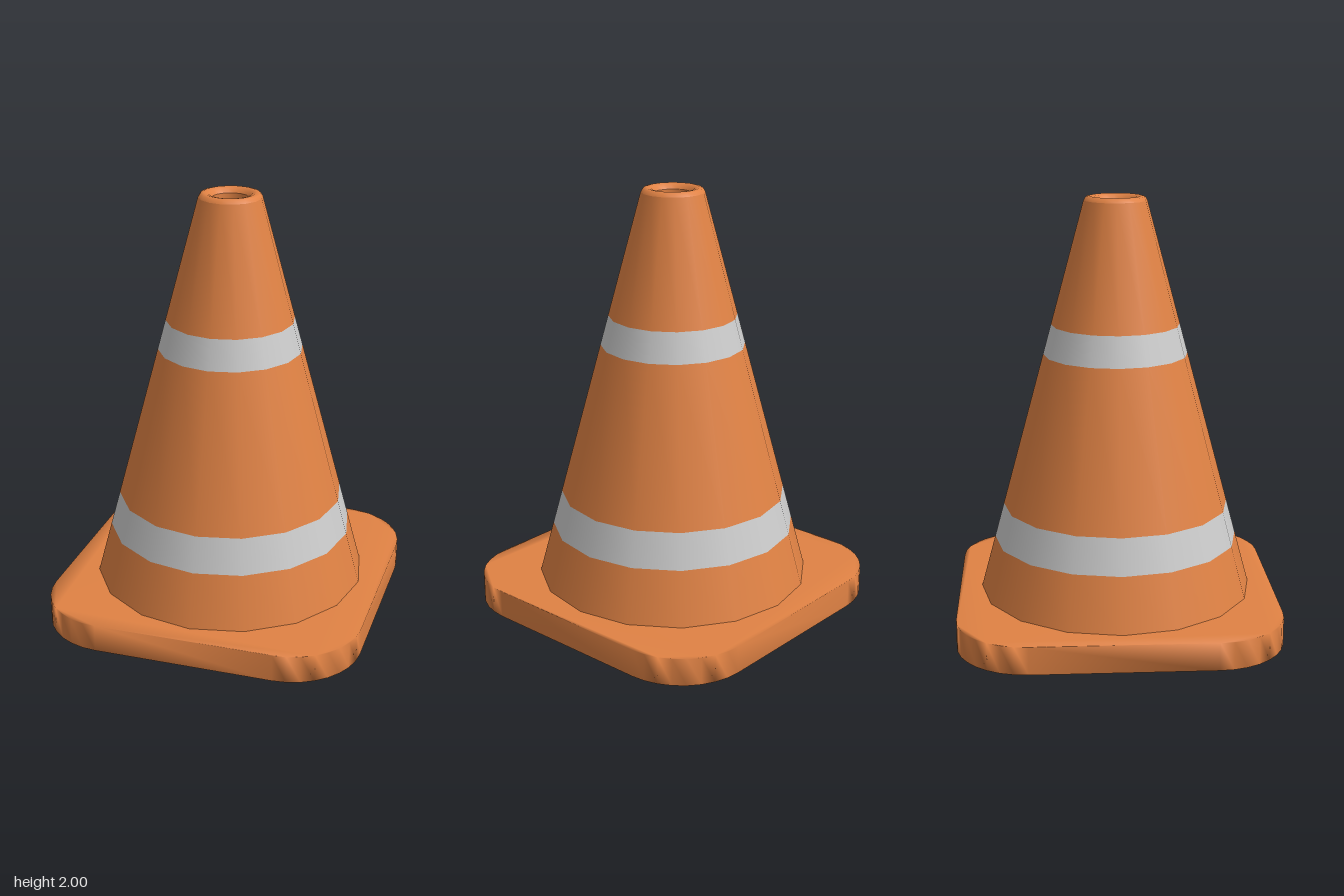
import * as THREE from 'three';
import { mergeVertices } from 'three/addons/utils/BufferGeometryUtils.js';

const SIDES = 16;
const BASE_HEIGHT = 0.13;

export function createModel() {
  const group = new THREE.Group();
  const orange = new THREE.MeshStandardMaterial({ color: 0xe08244 });
  const grey = new THREE.MeshStandardMaterial({ color: 0xcccccc });

  const add = (name, geometry, material) => {
    const mesh = new THREE.Mesh(geometry, material);
    mesh.name = name;
    group.add(mesh);
  };
  const lathe = (points) =>
    new THREE.LatheGeometry(points.map(([r, y]) => new THREE.Vector2(r, y)), SIDES);

  // Radius of the tapering wall at a height
  const radiusAt = (y) => THREE.MathUtils.mapLinear(y, BASE_HEIGHT, 1.98, 0.645, 0.146);
  const wall = (y0, y1) => lathe([[radiusAt(y0), y0], [radiusAt(y1), y1]]);

  // Square foot with rounded corners and soft shading
  const half = 0.75, corner = 0.33, inner = half - corner;
  const outline = new THREE.Shape();
  for (let i = 0; i < 4; i++) {
    const start = (i * Math.PI) / 2;
    const cx = inner * (i === 0 || i === 3 ? 1 : -1);
    const cy = inner * (i < 2 ? 1 : -1);
    outline.absarc(cx, cy, corner, start, start + Math.PI / 2, false);
  }
  let foot = new THREE.ExtrudeGeometry(outline, {
    depth: BASE_HEIGHT, bevelEnabled: false, curveSegments: 4,
  });
  foot.rotateX(-Math.PI / 2);
  foot.deleteAttribute('normal');
  foot.deleteAttribute('uv');
  foot = mergeVertices(foot, 1e-4);
  foot.computeVertexNormals();
  add('foot', foot, orange);

  // Cone wall in alternating orange and reflective sections
  add('lowerCone', wall(BASE_HEIGHT, 0.38), orange);
  add('lowerBand', wall(0.38, 0.545), grey);
  add('middleCone', wall(0.545, 1.27), orange);
  add('upperBand', wall(1.27, 1.41), grey);
  add('upperCone', wall(1.41, 1.98), orange);

  // Rounded lip and the open tube inside
  add('lip', lathe([[0.146, 1.98], [0.136, 1.996], [0.12, 2], [0.098, 1.995], [0.085, 1.975]]), orange);
  add('innerTube', lathe([[0.085, 1.975], [0.085, BASE_HEIGHT]]), orange);

  return group;
}
